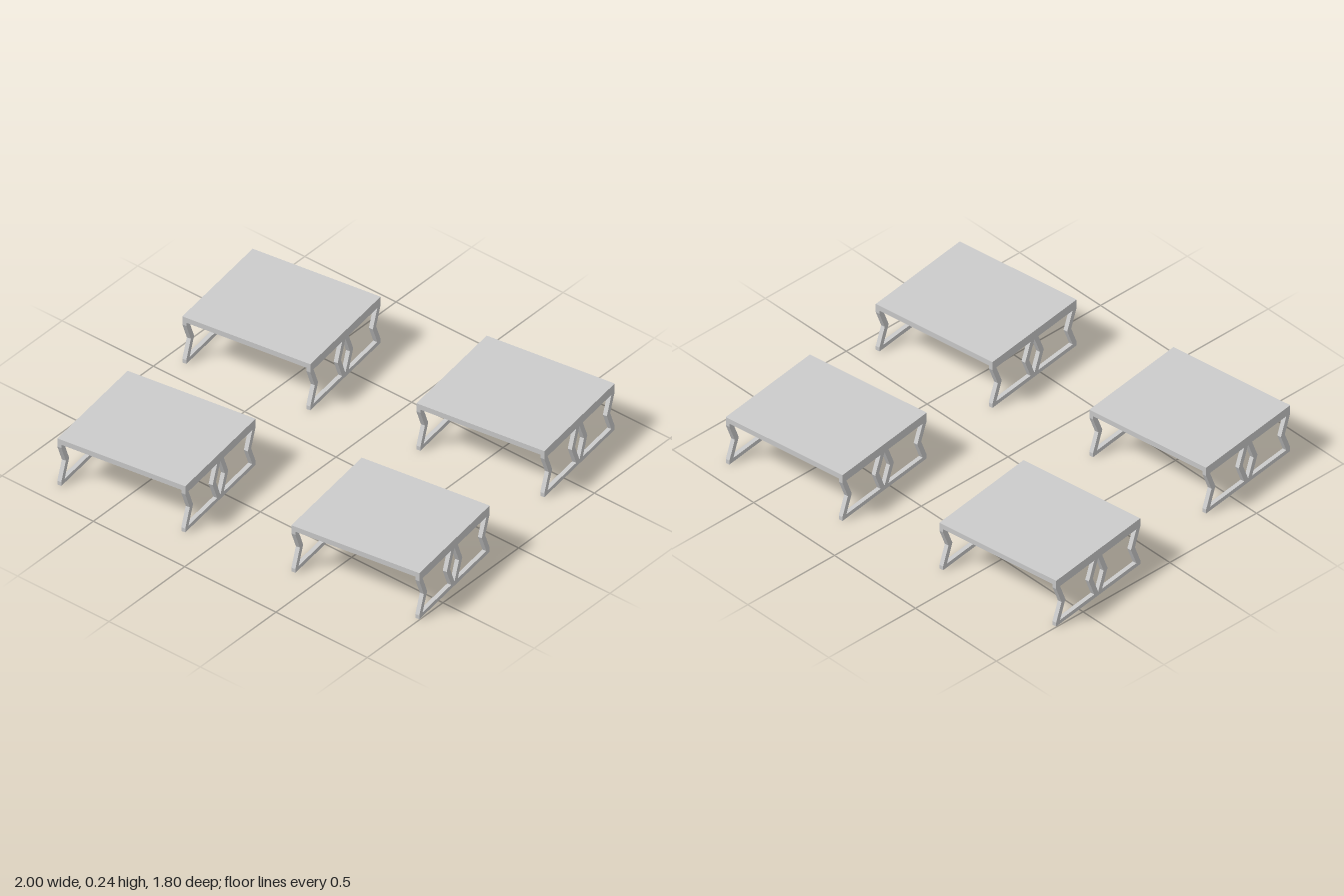
import * as THREE from 'three';

const W = 0.636, D = 0.56, TOP = 0.243, UNDER = 0.217; // table size
const T = 0.02;                                        // frame bar thickness
const TURN = 0.134;                                    // shared table rotation

// Closed loop with pinched sides: half width, bottom, top, knee heights and pinch depth
function pinchedLoop(PathType, half, y0, y1, knee0, knee1, pinch) {
  const mid = (knee0 + knee1) / 2;
  const right = [[half, y0], [half, knee0], [half - pinch, mid], [half, knee1], [half, y1]];
  const left = right.map(([x, y]) => [-x, y]).reverse();
  const points = [...right, ...left]
    .filter((p, i, a) => i === 0 || p[0] !== a[i - 1][0] || p[1] !== a[i - 1][1])
    .map(([x, y]) => new THREE.Vector2(x, y));
  return new PathType(points);
}

// One leg loop: top rail, floor rail and two bent legs, lying in the z-y plane
function legLoopGeometry() {
  const shape = pinchedLoop(THREE.Shape, D / 4, 0, UNDER, T, 0.2, 0.036);
  shape.holes.push(pinchedLoop(THREE.Path, D / 4 - 0.026, T, 0.2, T, 0.2, 0.036));
  const geometry = new THREE.ExtrudeGeometry(shape, { depth: T, bevelEnabled: false });
  geometry.translate(0, 0, -T / 2);
  geometry.rotateY(Math.PI / 2);
  return geometry;
}

export function createModel() {
  const model = new THREE.Group();
  model.name = 'tables';
  const material = new THREE.MeshStandardMaterial({ color: 0xcccccc, flatShading: true });
  const topGeometry = new THREE.BoxGeometry(W, TOP - UNDER, D);
  const loopGeometry = legLoopGeometry();

  const centres = [[-0.645, -0.418], [0.504, -0.578], [-0.504, 0.578], [0.645, 0.418]];
  for (const [x, z] of centres) {
    const table = new THREE.Group();
    table.name = 'table';

    // Flat top
    const top = new THREE.Mesh(topGeometry, material);
    top.name = 'tableTop';
    top.position.y = (TOP + UNDER) / 2;
    table.add(top);

    // Two leg loops side by side under each end
    for (const end of [-1, 1]) {
      for (const side of [-1, 1]) {
        const loop = new THREE.Mesh(loopGeometry, material);
        loop.name = 'legLoop';
        loop.position.set(end * (W - T) / 2, 0, side * D / 4);
        table.add(loop);
      }
    }

    table.position.set(x, 0, z);
    table.rotation.y = TURN;
    model.add(table);
  }
  return model;
}
